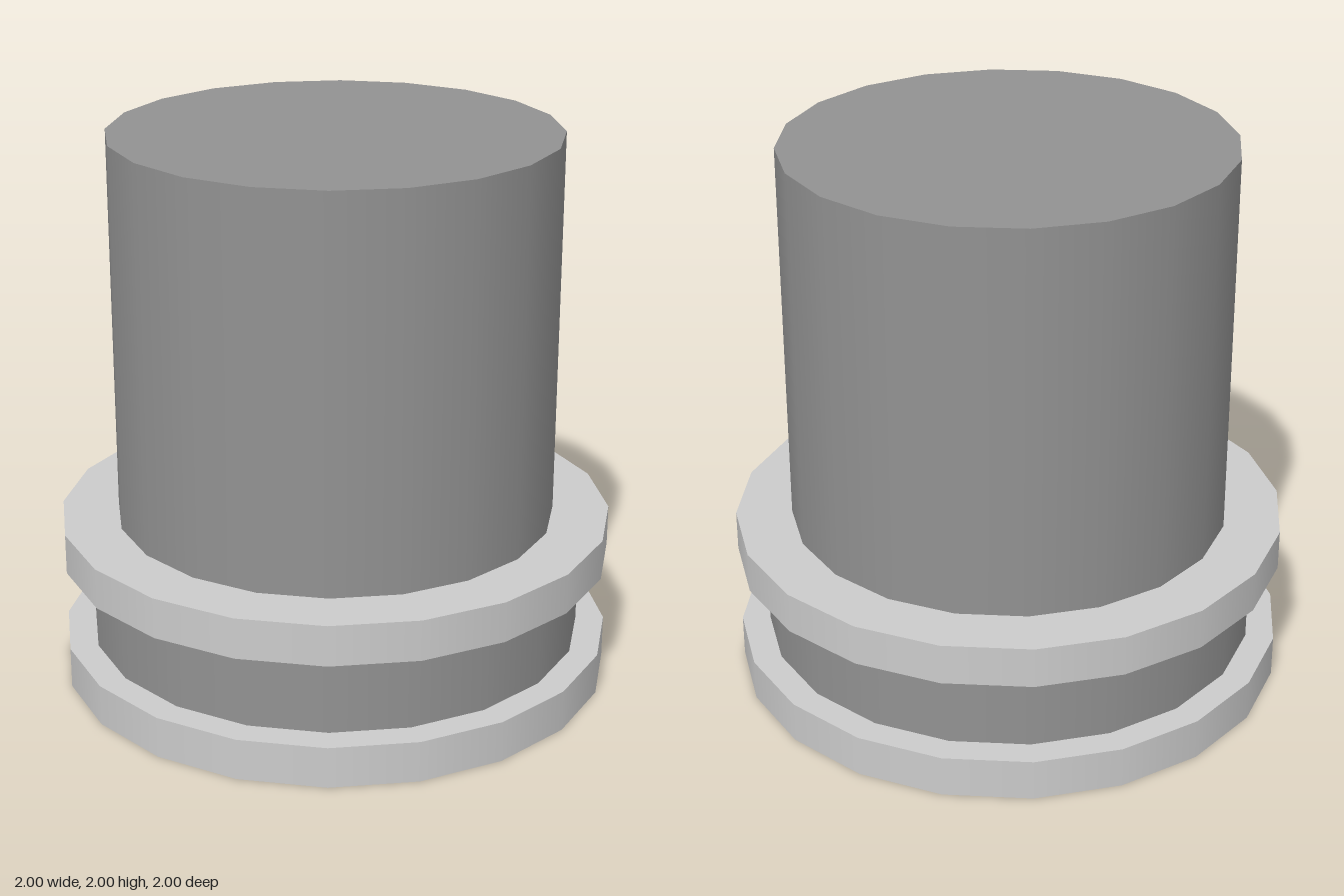
import * as THREE from 'three';

const SIDES = 20;

export function createModel() {
  const group = new THREE.Group();
  const light = new THREE.MeshStandardMaterial({ color: 0xcccccc });
  const dark = new THREE.MeshStandardMaterial({ color: 0x929292 });

  // Upright cylinder between two heights, smooth sides and sharp caps
  const addCylinder = (name, radius, bottom, top, material) => {
    const height = top - bottom;
    const mesh = new THREE.Mesh(new THREE.CylinderGeometry(radius, radius, height, SIDES), material);
    mesh.name = name;
    mesh.position.y = bottom + height / 2;
    group.add(mesh);
  };

  addCylinder('lowerFlange', 1, 0, 0.15, light);
  addCylinder('neck', 0.897, 0.15, 0.453, dark);
  addCylinder('upperFlange', 1, 0.453, 0.6, light);
  addCylinder('body', 0.796, 0.6, 2, dark);

  return group;
}
